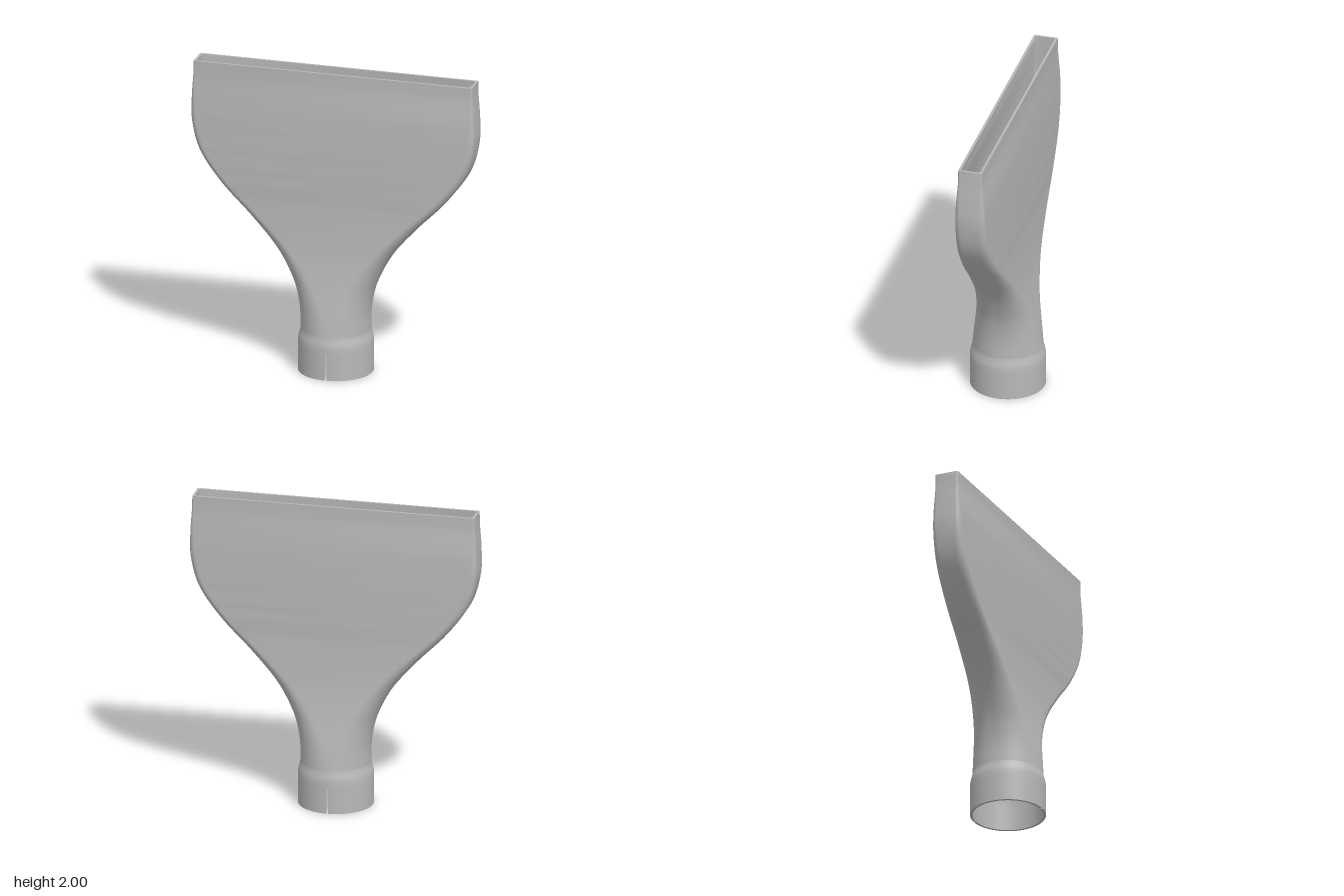
import * as THREE from 'three';
import { toCreasedNormals } from 'three/addons/utils/BufferGeometryUtils.js';

const WALL = 0.016;
const COLLAR_R = 0.24;
const NECK_Y = 0.28;
const SLOT_H = 0.165;

// Nozzle sections: height, diagonal reach, half thickness, corner radius
const SECTIONS = [
  [0.28, 0.225, 0.225, 0.225],
  [0.4, 0.225, 0.208, 0.195],
  [0.5, 0.231, 0.189, 0.172],
  [0.6, 0.247, 0.17, 0.15],
  [0.8, 0.316, 0.14, 0.112],
  [1.0, 0.435, 0.123, 0.083],
  [1.2, 0.572, 0.112, 0.064],
  [1.4, 0.672, 0.105, 0.05],
  [1.6, 0.711, 0.1, 0.04],
  [1.75, 0.712, 0.094, 0.03],
  [1.92, 0.701, 0.079, 0.012],
  [2.0, 0.7, 0.078, 0.008],
];

const sectionAt = new THREE.CubicInterpolant(
  SECTIONS.map((s) => s[0]), SECTIONS.flatMap((s) => s.slice(1)), 3, new Float32Array(3));

// Rounded rectangle ring at height y, shrunk by inset
function ring(y, inset) {
  const [reach, half, radius] = sectionAt.evaluate(y);
  const length = Math.SQRT2 * (reach - radius) + 2 * radius - half - inset;
  const width = half - inset;
  const r = Math.max(radius - inset, 0.003);
  const points = [];
  const steps = 14;
  [[1, 1], [-1, 1], [-1, -1], [1, -1]].forEach(([sx, sz], corner) => {
    for (let i = 0; i <= steps; i++) {
      const a = (corner + i / steps) * Math.PI / 2;
      points.push([sx * (length - r) + r * Math.cos(a), y, sz * (width - r) + r * Math.sin(a)]);
    }
  });
  return points;
}

// Skin closed rings one after the other
function loft(rings) {
  const n = rings[0].length;
  const index = [];
  for (let j = 0; j < rings.length - 1; j++) {
    for (let i = 0; i < n; i++) {
      const a = j * n + i, b = j * n + (i + 1) % n;
      index.push(a, a + n, b, b, a + n, b + n);
    }
  }
  const geometry = new THREE.BufferGeometry();
  geometry.setAttribute('position', new THREE.Float32BufferAttribute(rings.flat(2), 3));
  geometry.setIndex(index);
  return toCreasedNormals(geometry, 0.6);
}

export function createModel() {
  const model = new THREE.Group();
  model.name = 'flatNozzle';
  const grey = new THREE.MeshStandardMaterial({ color: 0xb8b8b8 });
  grey.name = 'grey';

  function add(name, geometry) {
    const mesh = new THREE.Mesh(geometry, grey);
    mesh.name = name;
    model.add(mesh);
  }

  // Hollow body: up the outside, over the rim, down the inside
  const rows = 56;
  const heights = Array.from({ length: rows + 1 }, (_, i) => NECK_Y + (2 - NECK_Y) * i / rows);
  add('nozzleBody', loft([
    ...heights.map((y) => ring(y, 0)),
    ...heights.slice().reverse().map((y) => ring(y, WALL)),
  ]));

  // Collar shoulder, stepping in to the neck
  const shoulder = [[COLLAR_R, SLOT_H], [COLLAR_R, 0.21], [0.238, 0.225], [0.233, 0.245],
    [0.228, 0.262], [0.225, NECK_Y]];
  const profile = [
    ...shoulder.slice().reverse().map(([r, y]) => new THREE.Vector2(r - WALL, y)),
    ...shoulder.map(([r, y]) => new THREE.Vector2(r, y)),
  ];
  add('collarShoulder', toCreasedNormals(new THREE.LatheGeometry(profile, 96), 0.6));

  // Two half sleeves, leaving a narrow slot on each broad side
  const gap = 0.03;
  for (const [side, turn] of [['left', 0], ['right', Math.PI]]) {
    const start = turn - Math.PI / 2 + gap, end = turn + Math.PI / 2 - gap;
    const shape = new THREE.Shape();
    shape.absarc(0, 0, COLLAR_R, start, end, false);
    shape.absarc(0, 0, COLLAR_R - WALL, end, start, true);
    const sleeve = new THREE.ExtrudeGeometry(shape,
      { depth: SLOT_H, bevelEnabled: false, curveSegments: 48 });
    sleeve.rotateX(-Math.PI / 2);
    add(side + 'CollarSleeve', toCreasedNormals(sleeve, 0.6));
  }

  // The mouth lies along the diagonal
  model.rotation.y = -Math.PI / 4;
  const root = new THREE.Group();
  root.name = 'nozzle';
  root.add(model);
  return root;
}
